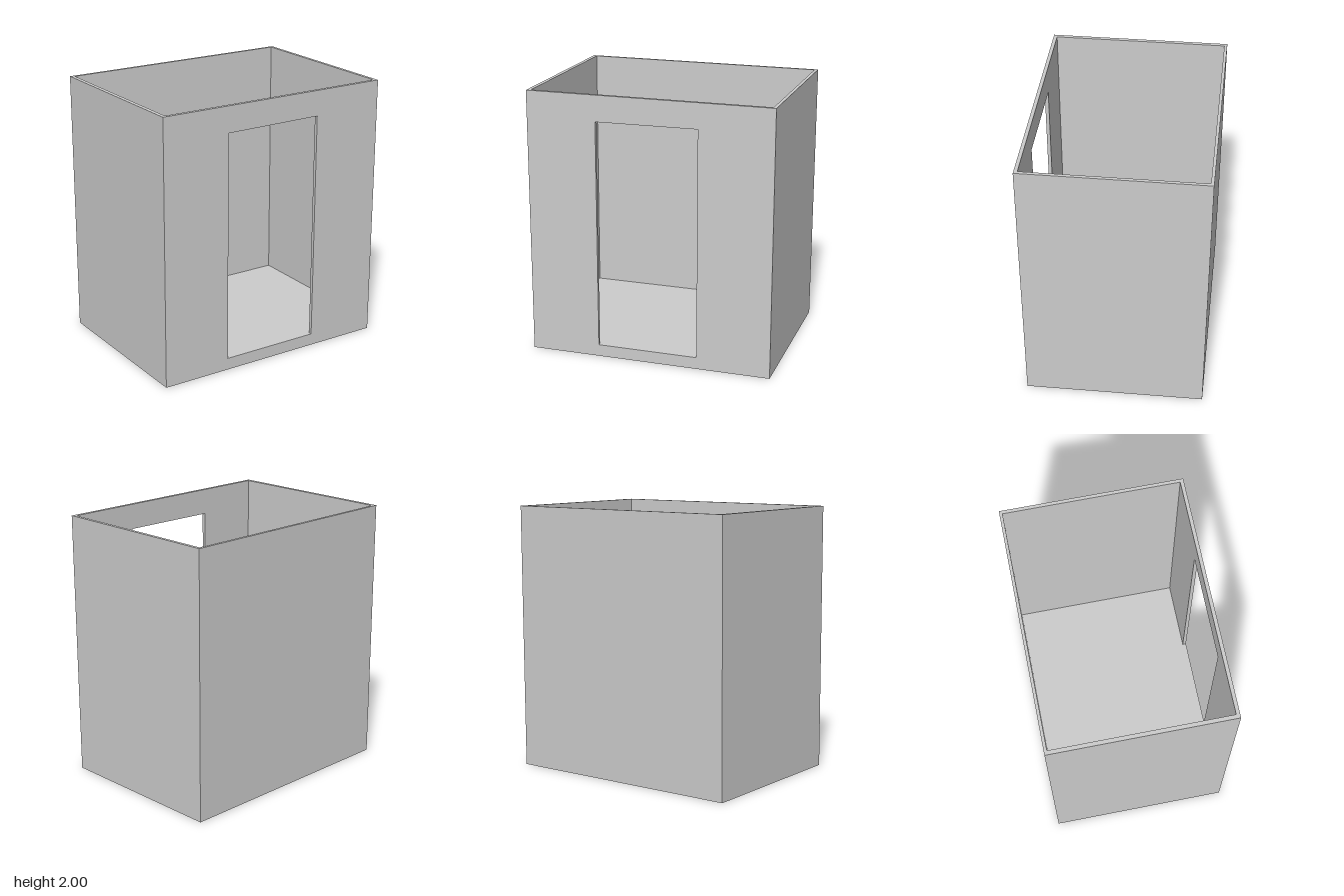
import * as THREE from 'three';

const H = 2, FLOOR = 0.09;
const LEFT = 0.92, RIGHT = -0.92, FRONT = 0.672, BACK = -0.672;
const IN_LEFT = 0.895, IN_RIGHT = -0.89, IN_FRONT = 0.645, IN_BACK = -0.65;

const material = new THREE.MeshStandardMaterial({ color: 0xcccccc, flatShading: true });

// The walls lean very slightly: the base is shifted in x and a touch shallower at the back.
function lean(geometry) {
  const p = geometry.attributes.position;
  for (let i = 0; i < p.count; i++) {
    const t = 1 - p.getY(i) / H;
    const z = p.getZ(i);
    p.setX(i, p.getX(i) - 0.005 * t);
    p.setZ(i, z - (z > 0 ? 0.004 : -0.011) * t);
  }
  geometry.computeVertexNormals();
  return geometry;
}

function part(name, geometry) {
  const mesh = new THREE.Mesh(lean(geometry), material);
  mesh.name = name;
  return mesh;
}

// Box given by its two extreme corners
function slab(name, x0, x1, y0, y1, z0, z1) {
  const g = new THREE.BoxGeometry(x1 - x0, y1 - y0, z1 - z0);
  g.translate((x0 + x1) / 2, (y0 + y1) / 2, (z0 + z1) / 2);
  return part(name, g);
}

// Front wall with a doorway whose sill is flush with the floor
function frontWall() {
  const wall = new THREE.Shape([
    new THREE.Vector2(RIGHT, 0), new THREE.Vector2(LEFT, 0),
    new THREE.Vector2(LEFT, H), new THREE.Vector2(RIGHT, H),
  ]);
  wall.holes.push(new THREE.Path([
    new THREE.Vector2(-0.395, FLOOR), new THREE.Vector2(-0.395, 1.805),
    new THREE.Vector2(0.367, 1.81), new THREE.Vector2(0.367, FLOOR),
  ]));
  const g = new THREE.ExtrudeGeometry(wall, { depth: FRONT - IN_FRONT, bevelEnabled: false });
  g.translate(0, 0, IN_FRONT);
  return part('frontWall', g);
}

export function createModel() {
  const room = new THREE.Group();
  room.name = 'openRoom';
  room.add(
    frontWall(),
    slab('backWall', RIGHT, LEFT, 0, H, BACK, IN_BACK),
    slab('leftWall', IN_LEFT, LEFT, 0, H, IN_BACK, IN_FRONT),
    slab('rightWall', RIGHT, IN_RIGHT, 0, H, IN_BACK, IN_FRONT),
    slab('floor', IN_RIGHT, IN_LEFT, 0, FLOOR, IN_BACK, IN_FRONT),
  );
  return room;
}
